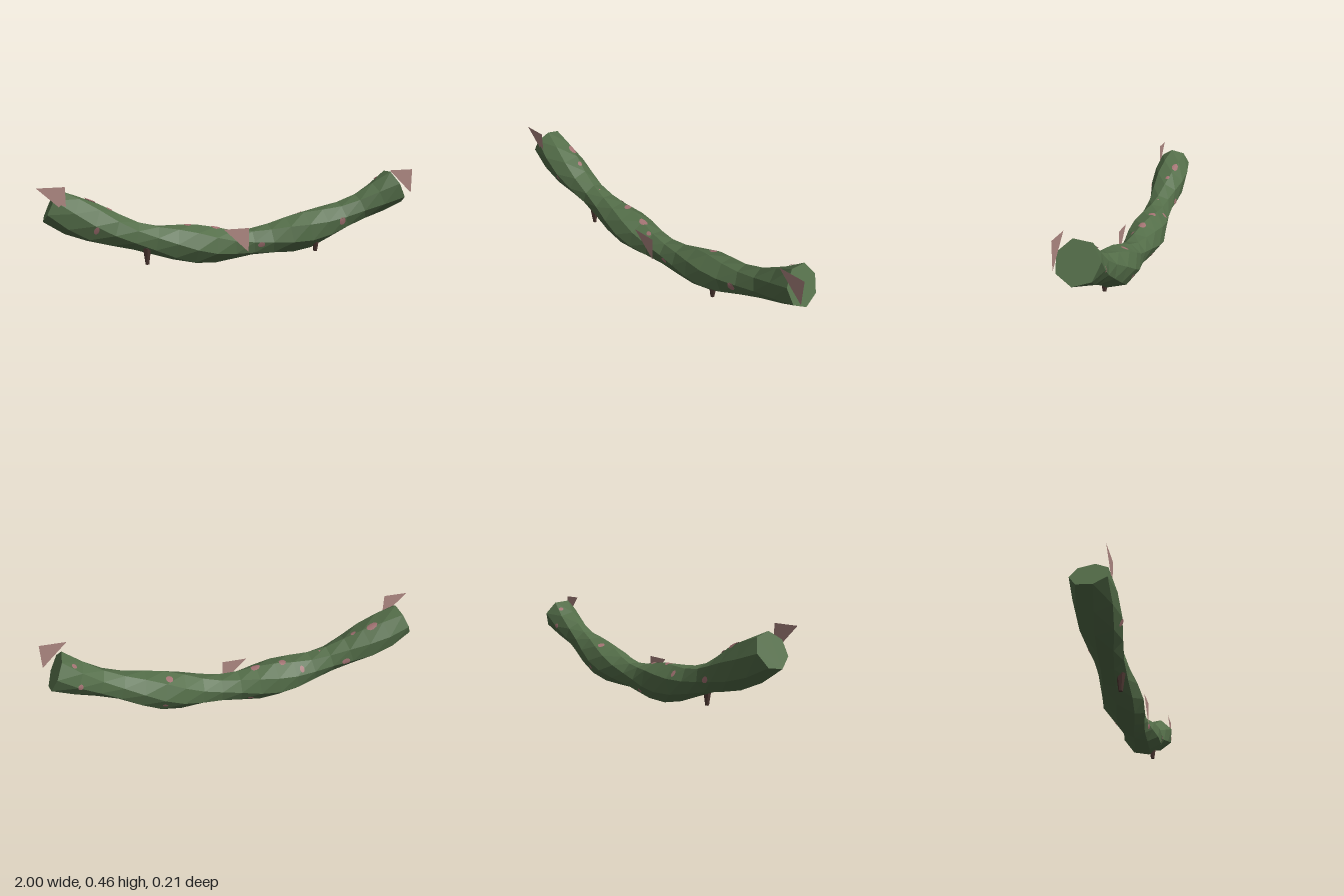
import * as THREE from 'three';

const SIDES = 7, RINGS = 18, END = 0.94;
const STEP = (Math.PI * 2) / SIDES;

const moss = new THREE.MeshStandardMaterial({ name: 'mossGreen', color: 0x546e49, flatShading: true });
const petal = new THREE.MeshStandardMaterial({ name: 'dustyPink', color: 0xb08a84, side: THREE.DoubleSide });
const blotch = new THREE.MeshStandardMaterial({ name: 'rosePink', color: 0xa27272, side: THREE.DoubleSide });
const bark = new THREE.MeshStandardMaterial({ name: 'darkBark', color: 0x4a3530, flatShading: true });

// Sagging centre line, rippling thickness and steady twist along x
const centreY = (x) => 0.097 + 0.305 * x * x;
const radius = (x) => 0.089 + 0.016 * Math.cos((Math.PI * 2 * (x + 0.2)) / 0.595);
const twist = (x) => 0.33 + 2 * (x - END);

// Point at distance r from the centre line; angle runs from up towards +z
function around(x, angle, r) {
  const tilt = Math.atan(0.61 * x * 0.87);
  const h = r * Math.cos(angle);
  return [x - Math.sin(tilt) * h, centreY(x) + Math.cos(tilt) * h, r * Math.sin(angle)];
}

// Point just above the flat sides
function onSkin(x, angle, lift) {
  const a = angle - twist(x);
  const local = a - Math.floor(a / STEP) * STEP - STEP / 2;
  return around(x, angle, (radius(x) * Math.cos(STEP / 2)) / Math.cos(local) + lift);
}

function geometryFrom(points, index) {
  const g = new THREE.BufferGeometry();
  g.setAttribute('position', new THREE.Float32BufferAttribute(points.flat(), 3));
  g.setIndex(index);
  g.computeVertexNormals();
  return g;
}

// Twisted seven-sided stem with closed ends
function stemGeometry() {
  const points = [], index = [];
  for (let i = 0; i <= RINGS; i++) {
    const x = -END + (2 * END * i) / RINGS;
    for (let j = 0; j < SIDES; j++) points.push(around(x, twist(x) + j * STEP, radius(x)));
  }
  for (let i = 0; i < RINGS; i++) {
    for (let j = 0; j < SIDES; j++) {
      const k = (j + 1) % SIDES;
      const a = i * SIDES + j, b = i * SIDES + k, c = a + SIDES, d = b + SIDES;
      index.push(a, b, c, b, d, c);
    }
  }
  const last = RINGS * SIDES;
  for (let j = 1; j < SIDES - 1; j++) {
    index.push(0, j + 1, j);
    index.push(last, last + j, last + j + 1);
  }
  return geometryFrom(points, index);
}

// Small rounded patch hugging the skin
function patchGeometry(x, angle, rx, ra) {
  const points = [onSkin(x, angle, 0.005)], index = [], n = 10;
  for (let i = 0; i < n; i++) {
    const a = (i / n) * Math.PI * 2;
    points.push(onSkin(x + rx * Math.sin(a), angle + (ra / radius(x)) * Math.cos(a), 0.004));
    index.push(0, 1 + i, 1 + ((i + 1) % n));
  }
  return geometryFrom(points, index);
}

export function createModel() {
  const model = new THREE.Group();
  model.name = 'mossyBranch';
  const add = (name, geometry, material) => {
    const mesh = new THREE.Mesh(geometry, material);
    mesh.name = name;
    model.add(mesh);
    return mesh;
  };

  add('stem', stemGeometry(), moss);

  // Flat triangular leaves: right edge x and top edge y
  for (const [x, y] of [[-0.865, 0.472], [0.065, 0.202], [1, 0.472]]) {
    const shape = new THREE.Shape([
      new THREE.Vector2(x - 0.135, y),
      new THREE.Vector2(x, y - 0.132),
      new THREE.Vector2(x, y),
    ]);
    add('leaf', new THREE.ShapeGeometry(shape), petal).position.z = 0.085;
  }

  // Tapered stubs underneath
  for (const [x, y] of [[-0.47, 0.033], [0.46, 0.033]]) {
    add('stub', new THREE.CylinderGeometry(0.023, 0.01, 0.09, 6), bark).position.set(x, y + 0.045, 0.042);
  }

  // Blotches: x, angle, half length, half width
  const blotches = [
    [-0.78, -0.4, 0.03, 0.02], [-0.68, -0.15, 0.015, 0.012], [-0.48, -0.1, 0.012, 0.01],
    [-0.35, -0.95, 0.013, 0.02], [-0.255, -0.2, 0.02, 0.022], [-0.1, 0, 0.027, 0.022],
    [-0.02, 0.4, 0.016, 0.012], [0.4, -0.4, 0.02, 0.022], [0.88, -0.5, 0.012, 0.015],
    [-0.72, 1.7, 0.012, 0.022], [0.14, 1.6, 0.02, 0.015], [0.6, 1.65, 0.018, 0.024],
    [0.83, -1.6, 0.012, 0.016], [0.41, -2, 0.014, 0.012], [-0.05, -2.2, 0.016, 0.012],
    [-0.59, -1.7, 0.022, 0.016],
  ];
  for (const b of blotches) add('blotch', patchGeometry(...b), blotch);

  return model;
}
